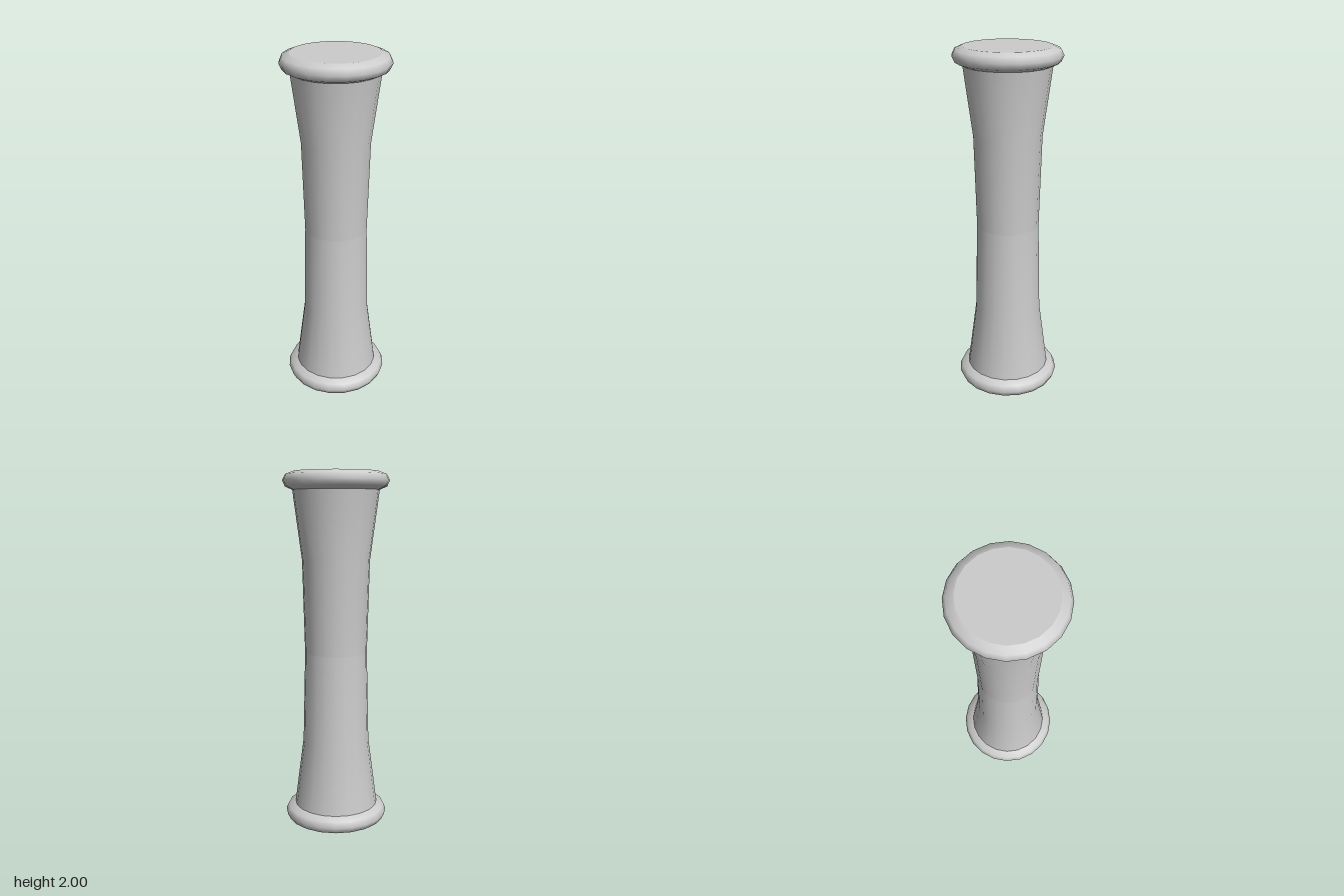
import * as THREE from 'three';

const SIDES = 20;
const material = new THREE.MeshStandardMaterial({ color: 0xcccccc, side: THREE.DoubleSide });

// Revolve a [radius, height] profile, listed from bottom to top
function revolve(name, profile) {
  const points = profile.map(([r, y]) => new THREE.Vector2(r, y));
  const mesh = new THREE.Mesh(new THREE.LatheGeometry(points, SIDES), material);
  mesh.name = name;
  return mesh;
}

// Same profile reflected about mid-height
const mirrored = (profile) => profile.map(([r, y]) => [r, 2 - y]).reverse();

export function createModel() {
  const group = new THREE.Group();
  group.name = 'flaredTube';

  // Rounded hollow rim and flared half of the waisted body
  const rim = [[0.24, 0], [0.28, 0.016], [0.295, 0.048], [0.28, 0.08], [0.24, 0.098]];
  const half = [[0.24, 0.098], [0.19, 0.48], [0.177, 1]];

  group.add(
    revolve('bottomRim', rim),
    revolve('lowerBody', half),
    revolve('upperBody', mirrored(half)),
    revolve('topRim', mirrored(rim)),
  );

  // Flat lid closing the top; the bottom stays open
  const lid = new THREE.Mesh(new THREE.CircleGeometry(0.24, SIDES), material);
  lid.name = 'topLid';
  lid.rotation.x = -Math.PI / 2;
  lid.position.y = 2;
  group.add(lid);

  return group;
}
